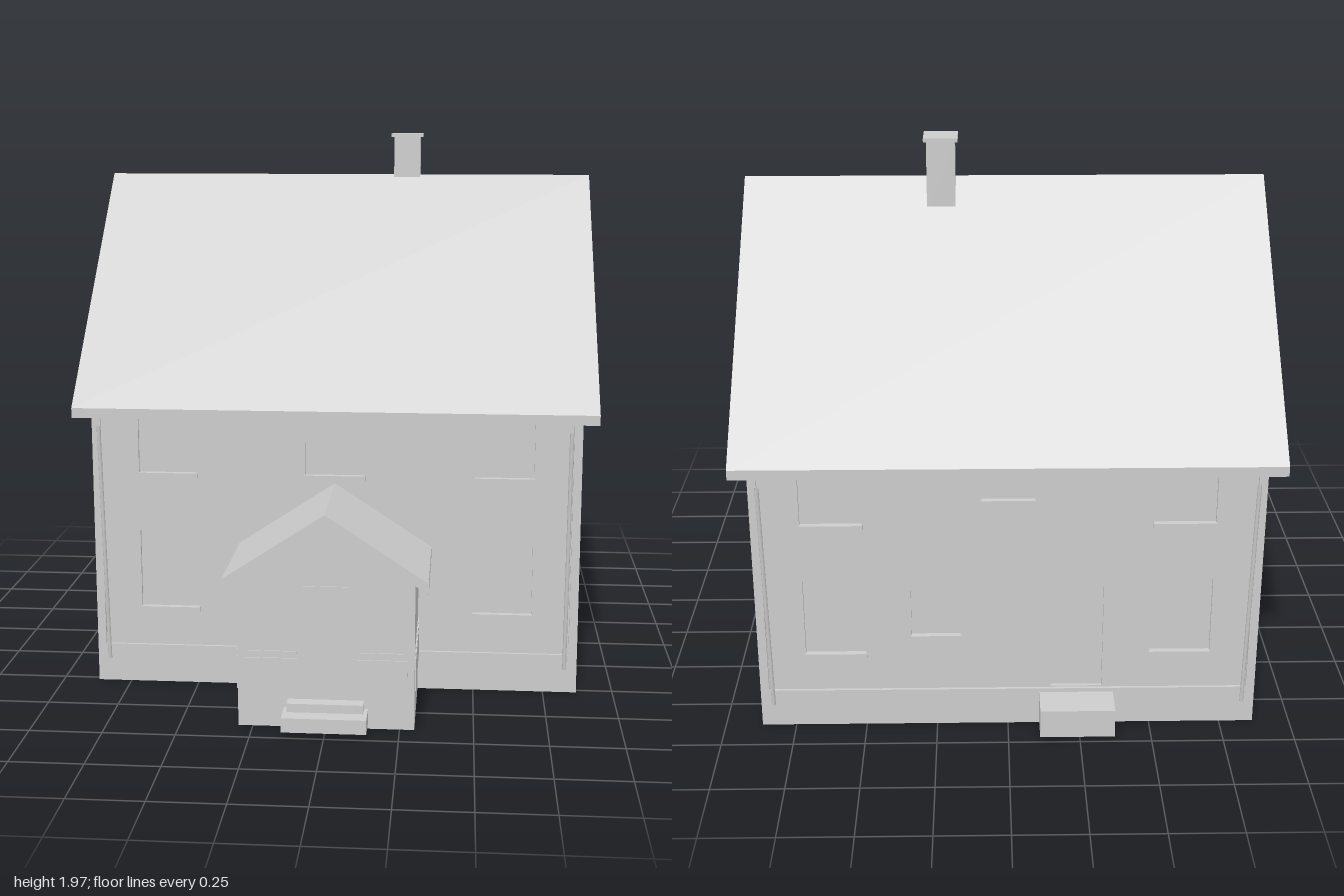
import * as THREE from 'three';

const grey = new THREE.MeshStandardMaterial({ color: 0xcccccc, side: THREE.DoubleSide });
grey.name = 'plain grey';

const MID_Z = -0.18; // ridge line of the main house

function mesh(name, geometry, parent) {
  const m = new THREE.Mesh(geometry, grey);
  m.name = name;
  parent.add(m);
  return m;
}

// Box given by its limits on each axis
function box(name, parent, [x0, x1], [y0, y1], [z0, z1]) {
  const m = mesh(name, new THREE.BoxGeometry(x1 - x0, y1 - y0, z1 - z0), parent);
  m.position.set((x0 + x1) / 2, (y0 + y1) / 2, (z0 + z1) / 2);
  return m;
}

function shapeOf(points) {
  return new THREE.Shape(points.map(([x, y]) => new THREE.Vector2(x, y)));
}

function rectPath(x0, x1, y0, y1) {
  return [[x0, y0], [x1, y0], [x1, y1], [x0, y1]];
}

function extrude(shape, depth) {
  return new THREE.ExtrudeGeometry(shape, { depth, bevelEnabled: false });
}

// Wall facing local +z at z = 0, with recessed openings [centre, width, bottom, top]
function wall(name, parent, outline, openings) {
  const g = new THREE.Group();
  g.name = name;
  parent.add(g);
  const shape = shapeOf(outline);
  for (const [c, w, y0, y1] of openings) {
    shape.holes.push(shapeOf(rectPath(c - w / 2, c + w / 2, y0, y1)));
    box('pane', g, [c - w / 2, c + w / 2], [y0, y1], [-0.018, -0.012]);
    if (y0 > 0.2) box('windowSill', g, [c - w / 2 - 0.003, c + w / 2 + 0.003], [y0 - 0.002, y0 + 0.015], [-0.014, 0.008]);
  }
  mesh('wallPanel', extrude(shape, 0.02), g).position.z = -0.02;
  return g;
}

// Two-sided roof slab with vertical eave ends, running along local z from 0
function roofSlab(half, ridge, eave, thick, length) {
  return extrude(shapeOf([
    [-half, eave], [-half, eave - thick], [0, ridge - thick],
    [half, eave - thick], [half, eave], [0, ridge],
  ]), length);
}

function buildHouse(root) {
  // Open-bottomed plinth ring
  const ring = shapeOf(rectPath(-0.87, 0.87, -0.7, 0.7));
  ring.holes.push(shapeOf(rectPath(-0.85, 0.85, -0.68, 0.68)));
  const plinth = mesh('plinth', extrude(ring, 0.14), root);
  plinth.rotation.x = -Math.PI / 2;
  plinth.position.z = MID_Z;

  // Long walls
  const longWall = rectPath(-0.86, 0.86, 0.14, 1.08);
  const lower = [0.27, 0.57], upper = [0.77, 1.05];
  wall('frontWall', root, longWall, [
    ...[-0.6, 0.6].map((x) => [x, 0.21, ...lower]),
    ...[-0.6, 0, 0.6].map((x) => [x, 0.21, ...upper]),
  ]).position.z = 0.51;
  const back = wall('backWall', root, longWall, [
    ...[-0.6, 0.6].map((x) => [x, 0.21, ...lower]),
    [-0.25, 0.17, 0.34, 0.55],
    ...[-0.6, 0.6].map((x) => [x, 0.21, ...upper]),
    [0, 0.18, 0.86, 1.05],
    [0.24, 0.18, 0.145, 0.54],
  ]);
  back.rotation.y = Math.PI;
  back.position.z = -0.87;

  // Gable walls with small notches under the rake
  const slope = [
    [0.69, 0.14], [0.69, 1.09], [0.62, 1.13], [0.42, 1.165], [0.59, 1.165],
    [0.42, 1.24], [0.54, 1.24], [0.31, 1.47], [0.14, 1.505], [0.275, 1.505],
  ];
  const mirrored = slope.map(([u, y]) => [-u, y]).reverse();
  const gable = [...slope, [0, 1.78], ...mirrored];
  for (const s of [-1, 1]) {
    const g = wall(s > 0 ? 'leftGable' : 'rightGable', root, gable, [
      ...[-0.362, 0.362].flatMap((u) => [[u, 0.212, ...lower], [u, 0.212, ...upper]]),
      [0, 0.18, 1.22, 1.44],
    ]);
    g.rotation.y = s * Math.PI / 2;
    g.position.set(s * 0.86, 0, MID_Z);
  }

  // Corner boards and leaning downpipes
  for (const sx of [-1, 1]) {
    for (const sz of [-1, 1]) {
      const b = box('cornerBoard', root, [-0.015, 0.015], [0.14, 1.085], [-0.015, 0.015]);
      b.position.x = sx * 0.855;
      b.position.z = MID_Z + sz * 0.685;
      const path = new THREE.LineCurve3(
        new THREE.Vector3(sx * 0.825, 0.09, MID_Z + sz * 0.71),
        new THREE.Vector3(sx * 0.825, 0.97, MID_Z + sz * 0.785));
      mesh('downpipe', new THREE.TubeGeometry(path, 1, 0.007, 8), root);
    }
  }

  // Main roof
  const roof = mesh('mainRoof', roofSlab(0.785, 1.815, 1.035, 0.035, 1.84), root);
  roof.rotation.y = Math.PI / 2;
  roof.position.set(-0.92, 0, MID_Z);

  // Chimney
  box('chimneyShaft', root, [0.175, 0.275], [1.7, 1.957], [-0.27, -0.17]);
  box('chimneyCap', root, [0.165, 0.285], [1.957, 1.97], [-0.28, -0.16]);

  // Back doorstep
  box('backStep', root, [-0.37, -0.11], [0.02, 0.125], [-1.0, -0.87]);
}

function buildPorch(root) {
  const porch = new THREE.Group();
  porch.name = 'porch';
  root.add(porch);

  // Walls
  wall('porchFront', porch, [[-0.3, 0], [0.3, 0], [0.3, 0.53], [0, 0.72], [-0.3, 0.53]], []).position.z = 0.9;
  for (const s of [-1, 1]) {
    const side = wall('porchSide', porch, rectPath(-0.19, 0.19, 0, 0.53), []);
    side.rotation.y = s * Math.PI / 2;
    side.position.set(s * 0.3, 0, 0.71);
    // Low panels and window ledges
    box('sidePanel', side, [-0.165, 0.185], [0.13, 0.245], [0, 0.004]);
    box('sideLedge', side, [-0.165, 0.185], [0.262, 0.27], [0, 0.004]);
    const x = s * 0.183;
    box('frontPanel', porch, [x - 0.092, x + 0.092], [0.13, 0.245], [0.9, 0.904]);
    box('frontLedge', porch, [x - 0.083, x + 0.083], [0.262, 0.27], [0.9, 0.904]);
  }
  box('porchDoor', porch, [-0.077, 0.077], [0.13, 0.5], [0.9, 0.904]);
  mesh('porchPediment', extrude(shapeOf([[-0.28, 0.53], [0.28, 0.53], [0, 0.715]]), 0.004), porch).position.z = 0.9;

  // Roof
  mesh('porchRoof', roofSlab(0.345, 0.757, 0.53, 0.038, 0.43), porch).position.z = 0.51;

  // Front steps
  box('lowerStep', porch, [-0.143, 0.143], [0.02, 0.07], [0.89, 1.0]);
  box('upperStep', porch, [-0.13, 0.13], [0.07, 0.1], [0.89, 0.945]);
}

export function createModel() {
  const root = new THREE.Group();
  root.name = 'house';
  buildHouse(root);
  buildPorch(root);
  return root;
}
